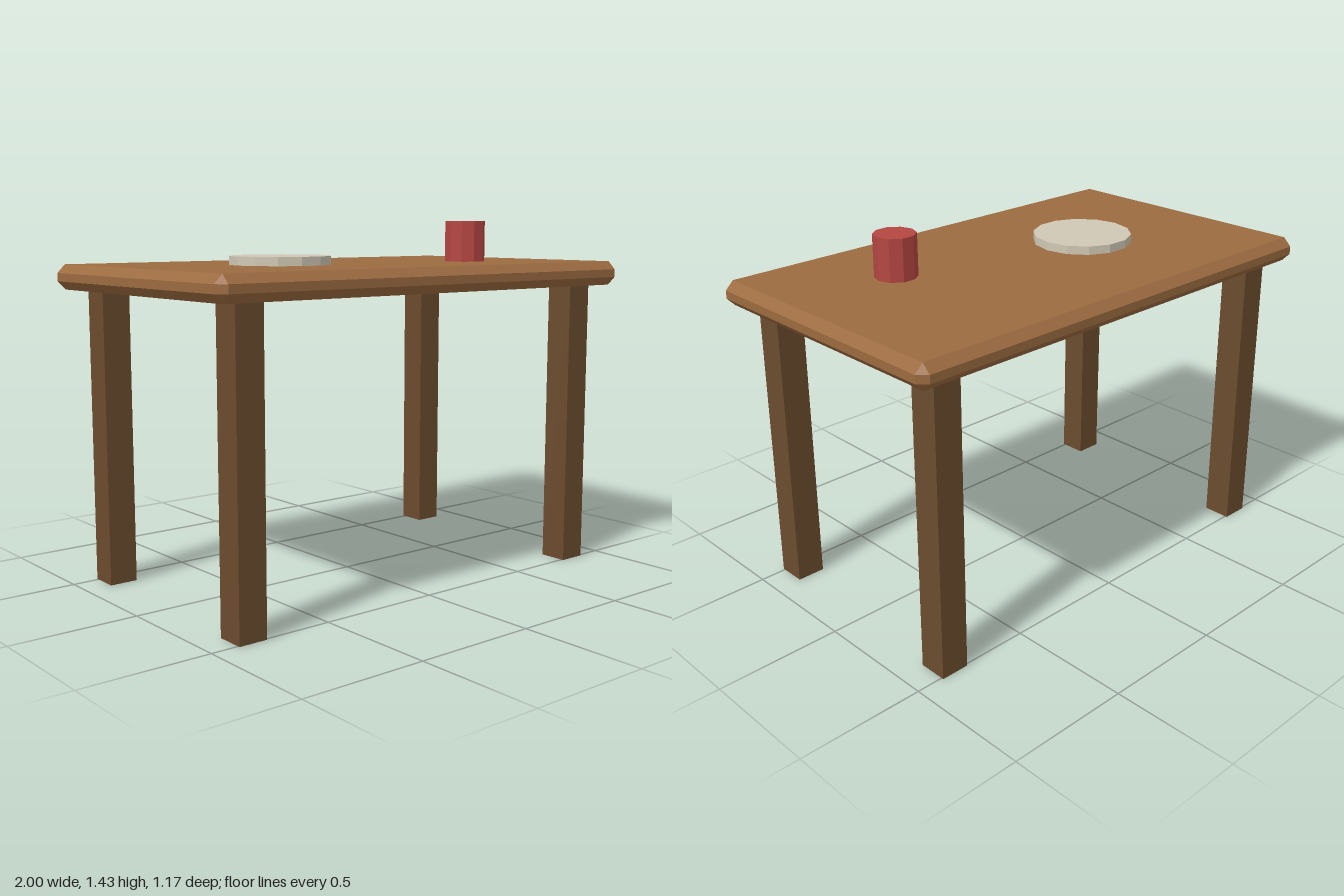
import * as THREE from 'three';
import { ConvexGeometry } from 'three/addons/geometries/ConvexGeometry.js';

// Box with single flat chamfers on every edge and triangular corners
function chamferedBox(w, h, d, c) {
  const points = [];
  for (const sx of [-1, 1]) for (const sy of [-1, 1]) for (const sz of [-1, 1]) {
    const x = w / 2, y = h / 2, z = d / 2;
    points.push(
      new THREE.Vector3(sx * x, sy * (y - c), sz * (z - c)),
      new THREE.Vector3(sx * (x - c), sy * y, sz * (z - c)),
      new THREE.Vector3(sx * (x - c), sy * (y - c), sz * z),
    );
  }
  return new ConvexGeometry(points);
}

function material(name, color) {
  const m = new THREE.MeshStandardMaterial({ color, flatShading: true });
  m.name = name;
  return m;
}

export function createModel() {
  const group = new THREE.Group();
  group.name = 'table';
  const wood = material('warm wood', 0x9c6b40);
  const darkWood = material('dark wood', 0x6b4c2e);
  const cream = material('cream ceramic', 0xd0c8b5);
  const red = material('red ceramic', 0xb54642);

  const add = (name, geometry, mat, x, y, z) => {
    const mesh = new THREE.Mesh(geometry, mat);
    mesh.name = name;
    mesh.position.set(x, y, z);
    group.add(mesh);
  };

  const bottom = 1.17, top = 1.268;

  // Tabletop
  add('tabletop', chamferedBox(2, top - bottom, 1.168, 0.033), wood, 0, (top + bottom) / 2, 0);

  // Four square legs
  const leg = new THREE.BoxGeometry(0.115, bottom, 0.115);
  for (const [side, x] of [['Left', 0.834], ['Right', -0.834]]) {
    for (const [end, z] of [['front', 0.451], ['back', -0.451]]) {
      add(`${end}${side}Leg`, leg, darkWood, x, bottom / 2, z);
    }
  }

  // Faceted plate and cup standing on the tabletop
  const disc = (r, h, sides) => new THREE.CylinderGeometry(r, r, h, sides, 1, false, Math.PI / 2);
  add('plate', disc(0.2, 0.034, 14), cream, -0.334, top + 0.017, 0);
  add('cup', disc(0.083, 0.167, 10), red, 0.5, top + 0.0835, 0.167);

  return group;
}
